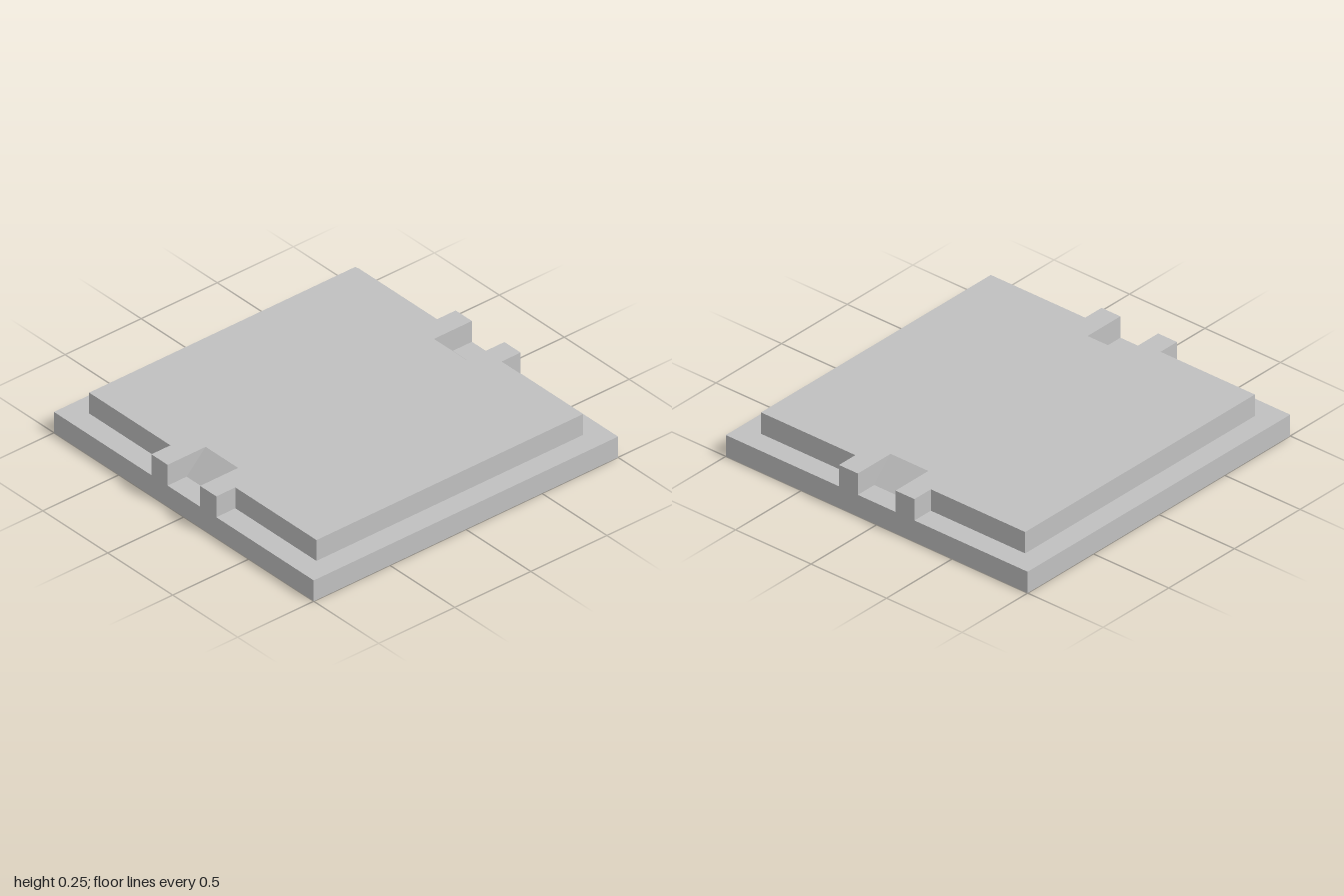
import * as THREE from 'three';

const OUTER = 1, INNER = 0.875, STEP = 0.125;

// Shape from [x, y] points
const outline = (pts) => new THREE.Shape(pts.map(([x, y]) => new THREE.Vector2(x, y)));

// Extrude a plan outline upward from height y
function plate(shape, y, height) {
  const geo = new THREE.ExtrudeGeometry(shape, { depth: height, bevelEnabled: false });
  geo.rotateX(-Math.PI / 2);
  geo.translate(0, y, 0);
  return geo;
}

export function createModel() {
  const group = new THREE.Group();
  const grey = new THREE.MeshStandardMaterial({ color: 0xc0c0c0 });
  grey.name = 'plainGrey';

  const add = (name, geo) => {
    const mesh = new THREE.Mesh(geo, grey);
    mesh.name = name;
    group.add(mesh);
    return mesh;
  };

  // Square rim, open in the middle so the underside is hollow
  const square = (s) => [[-s, -s], [s, -s], [s, s], [-s, s]];
  const rim = outline(square(OUTER));
  rim.holes.push(new THREE.Path(square(INNER).reverse().map(([x, y]) => new THREE.Vector2(x, y))));
  add('baseRim', plate(rim, 0, STEP));

  // Raised panel with a pair of lugs and a notch at front and back
  const edge = [
    [-INNER, -INNER], [-0.25, -INNER], [-0.25, -OUTER], [-0.125, -OUTER], [-0.125, -0.75],
    [0.125, -0.75], [0.125, -OUTER], [0.25, -OUTER], [0.25, -INNER], [INNER, -INNER],
  ];
  const panel = outline([...edge, ...edge.map(([x, y]) => [-x, -y])]);
  add('raisedPanel', plate(panel, STEP, STEP));

  // Sloping ramp inside each notch
  const profile = outline([[0.75, STEP], [INNER, STEP], [0.75, 2 * STEP]]);
  const ramp = new THREE.ExtrudeGeometry(profile, { depth: 0.25, bevelEnabled: false });
  ramp.rotateY(-Math.PI / 2);
  ramp.translate(0.125, 0, 0);
  add('frontRamp', ramp);
  add('backRamp', ramp).rotation.y = Math.PI;

  return group;
}
